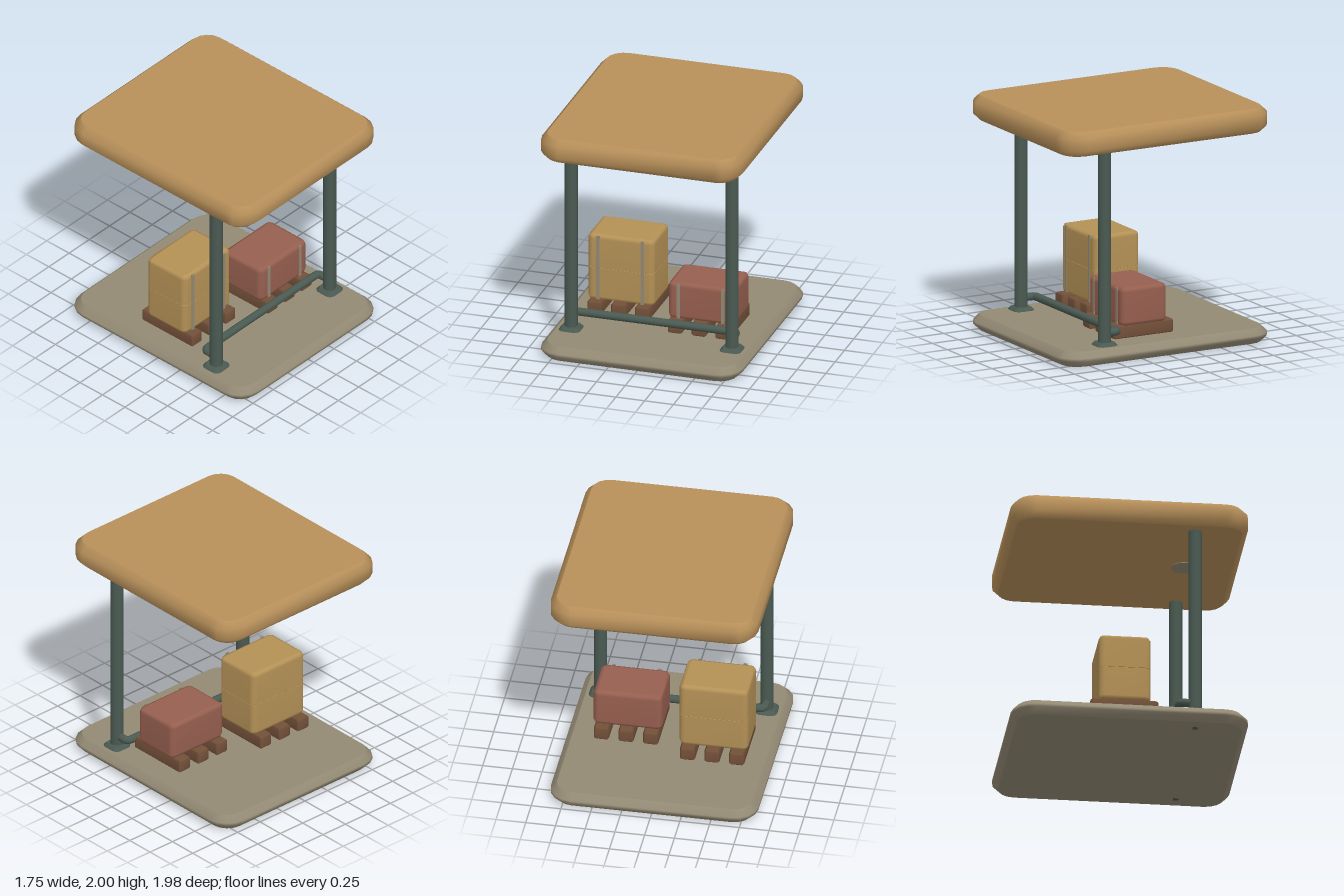
import * as THREE from 'three';

const material = (name, color) => {
  const m = new THREE.MeshStandardMaterial({ color });
  m.name = name;
  return m;
};

// Loop of points round a rounded rectangle, shrunk by an inset
function roundedRing(w, d, r, inset, y, segments) {
  const points = [];
  const corners = [[1, 1], [-1, 1], [-1, -1], [1, -1]];
  corners.forEach(([sx, sz], q) => {
    for (let i = 0; i <= segments; i++) {
      const a = (q + i / segments) * Math.PI / 2;
      points.push(
        sx * (w / 2 - r) + Math.cos(a) * (r - inset), y,
        sz * (d / 2 - r) + Math.sin(a) * (r - inset));
    }
  });
  return points;
}

// Smooth-sided rounded block with flat caps; low and high are the edge bevels
function roundedBlock(w, d, r, y0, y1, low, high, steps = 1, segments = 4) {
  const profile = [];
  for (let i = 0; i <= steps; i++) {
    const a = i / steps * Math.PI / 2;
    profile.push([low * (1 - Math.sin(a)), y0 + low * (1 - Math.cos(a))]);
  }
  for (let i = 0; i <= steps; i++) {
    const a = i / steps * Math.PI / 2;
    profile.push([high * (1 - Math.cos(a)), y1 - high * (1 - Math.sin(a))]);
  }
  const rings = profile.map(([inset, y]) => roundedRing(w, d, r, inset, y, segments));
  const n = rings[0].length / 3;
  const positions = rings.flat();
  const index = [];
  for (let k = 0; k < rings.length - 1; k++) {
    for (let i = 0; i < n; i++) {
      const a = k * n + i, b = k * n + (i + 1) % n;
      index.push(a, a + n, b, b, a + n, b + n);
    }
  }
  // Caps have their own vertices, which keeps them flat
  const bottom = positions.length / 3, top = bottom + n;
  positions.push(...rings[0], ...rings[rings.length - 1]);
  for (let i = 1; i < n - 1; i++) {
    index.push(bottom, bottom + i, bottom + i + 1);
    index.push(top, top + i + 1, top + i);
  }
  const g = new THREE.BufferGeometry();
  g.setAttribute('position', new THREE.Float32BufferAttribute(positions, 3));
  g.setIndex(index);
  g.computeVertexNormals();
  return g;
}

export function createModel() {
  const model = new THREE.Group();
  model.name = 'cargoShelter';
  const roofTan = material('roof tan', 0xb8905a);
  const cartonTan = material('carton tan', 0xb49156);
  const stone = material('stone grey', 0x938a74);
  const steel = material('green steel', 0x4a5a52);
  const brick = material('brick red', 0x965f4f);
  const wood = material('pallet wood', 0x735039);

  const add = (name, geometry, mat, x = 0, y = 0, z = 0, parent = model) => {
    const mesh = new THREE.Mesh(geometry, mat);
    mesh.name = name;
    mesh.position.set(x, y, z);
    parent.add(mesh);
    return mesh;
  };

  // Floor and roof slabs
  add('floorSlab', roundedBlock(1.745, 1.975, 0.2, 0, 0.13, 0.052, 0.052), stone);
  add('roof', roundedBlock(1.745, 1.975, 0.2, 1.79, 2, 0.052, 0.052), roofTan);
  add('ceilingDisc', new THREE.CylinderGeometry(0.105, 0.105, 0.006, 24), stone, 0, 1.788, 0.53);

  // Front posts with foot plates and anchors under the floor
  const postZ = 0.545;
  for (const side of [-1, 1]) {
    const x = side * 0.7;
    const name = side > 0 ? 'left' : 'right';
    add(name + 'Post', new THREE.CylinderGeometry(0.055, 0.055, 1.68, 16), steel, x, 0.96, postZ);
    add(name + 'FootPlate', roundedBlock(0.185, 0.185, 0.05, 0.125, 0.157, 0, 0.025), steel, x, 0, postZ);
    add(name + 'Anchor', new THREE.BoxGeometry(0.045, 0.006, 0.045), steel, x, 0.002, postZ);
  }

  // Low rail whose ends bend forward into the posts
  const rail = new THREE.CurvePath();
  const v = (x, z) => new THREE.Vector3(x, 0.228, z);
  const railZ = 0.415, bend = 0.04;
  rail.add(new THREE.LineCurve3(v(-0.7, postZ), v(-0.7, railZ + bend)));
  rail.add(new THREE.QuadraticBezierCurve3(v(-0.7, railZ + bend), v(-0.7, railZ), v(-0.7 + bend, railZ)));
  rail.add(new THREE.LineCurve3(v(-0.7 + bend, railZ), v(0.7 - bend, railZ)));
  rail.add(new THREE.QuadraticBezierCurve3(v(0.7 - bend, railZ), v(0.7, railZ), v(0.7, railZ + bend)));
  rail.add(new THREE.LineCurve3(v(0.7, railZ + bend), v(0.7, postZ)));
  add('lowRail', new THREE.TubeGeometry(rail, 100, 0.034, 12), steel);

  // Each load is three pallet runners, a carton and two front straps
  function addLoad(name, x, z, height, mat, tiers) {
    const load = new THREE.Group();
    load.name = name;
    load.position.set(x, 0, z);
    model.add(load);
    for (const i of [-1, 0, 1]) {
      add('palletRunner', roundedBlock(0.127, 0.565, 0.02, 0.14, 0.252, 0.012, 0.012, 1, 2),
        wood, i * 0.207, 0, 0, load);
    }
    const base = 0.243, step = (height - base) / tiers;
    for (let t = 0; t < tiers; t++) {
      const low = t === 0 ? 0.035 : 0.003;
      const high = t === tiers - 1 ? 0.035 : 0.003;
      add('carton', roundedBlock(0.58, 0.43, 0.05, base + t * step, base + (t + 1) * step, low, high, 2),
        mat, 0, 0, 0, load);
    }
    for (const side of [-1, 1]) {
      add('strap', new THREE.BoxGeometry(0.028, height - 0.26, 0.009), stone,
        side * 0.193, (height + 0.25) / 2, 0.217, load);
    }
  }
  addLoad('tallLoad', -0.392, -0.037, 0.83, cartonTan, 2);
  addLoad('shortLoad', 0.362, 0.13, 0.567, brick, 1);

  return model;
}
